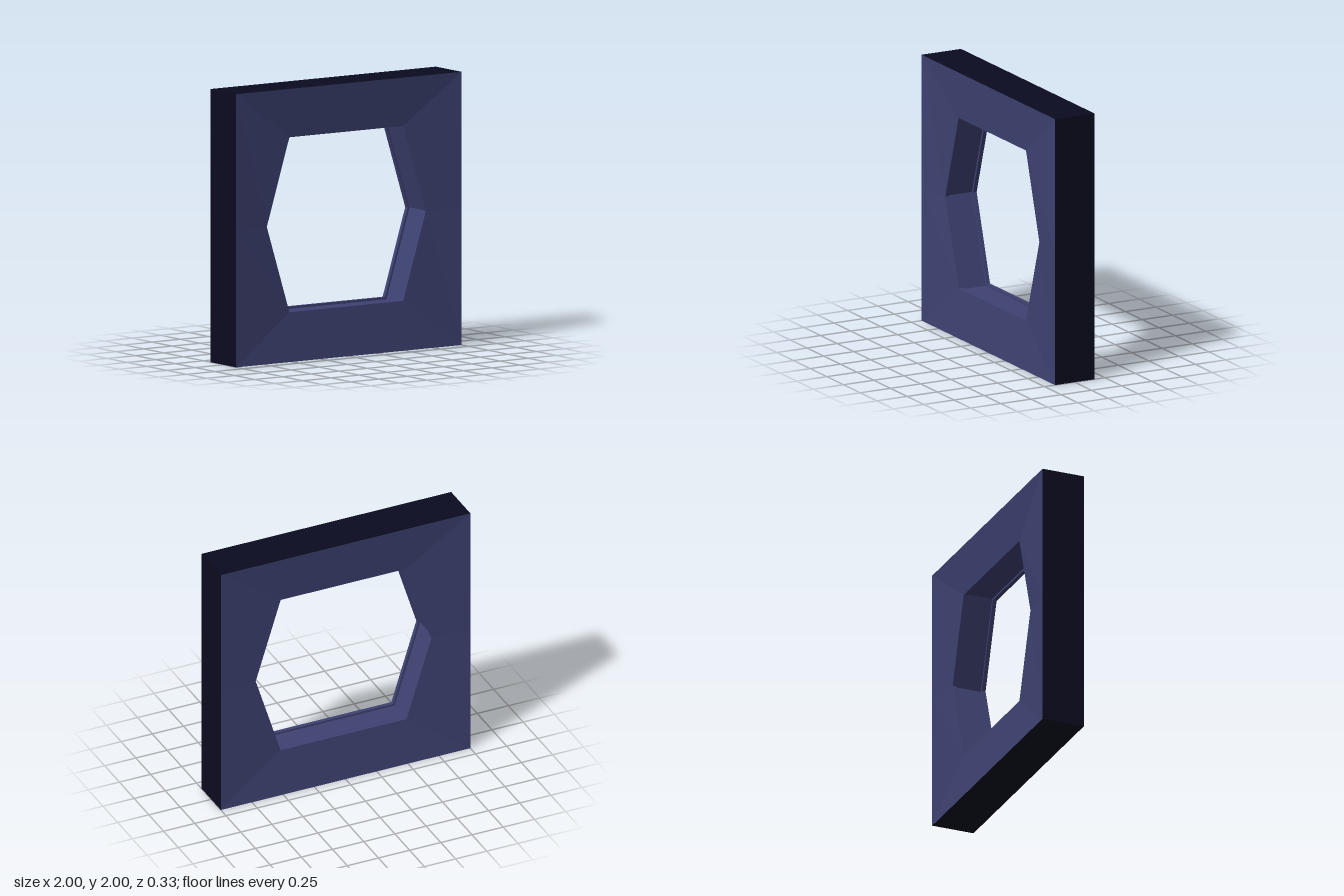
import * as THREE from 'three';

// Six-point loops, counter-clockwise from the front, centred on y = 1
const SQUARE = [[1, 0], [1, 1], [-1, 1], [-1, 0], [-1, -1], [1, -1]];
const HEX = [[0.705, 0], [0.505, 0.64], [-0.505, 0.64], [-0.705, 0], [-0.505, -0.64], [0.505, -0.64]];

function ring(loop, z, scale = 1) {
  return loop.map(([x, y]) => [x * scale, 1 + y * scale, z]);
}

// Flat-shaded skin through successive rings
function loft(rings) {
  const pos = [];
  for (let r = 0; r < rings.length - 1; r++) {
    const a = rings[r], b = rings[r + 1];
    for (let i = 0; i < a.length; i++) {
      const j = (i + 1) % a.length;
      pos.push(...a[i], ...a[j], ...b[j], ...a[i], ...b[j], ...b[i]);
    }
  }
  const geometry = new THREE.BufferGeometry();
  geometry.setAttribute('position', new THREE.Float32BufferAttribute(pos, 3));
  geometry.computeVertexNormals();
  return geometry;
}

export function createModel() {
  const model = new THREE.Group();
  model.name = 'hexagonalWindowFrame';

  const faceBlue = new THREE.MeshStandardMaterial({ color: 0x3e4272 });
  faceBlue.name = 'slateBlue';
  const edgeNavy = new THREE.MeshStandardMaterial({ color: 0x0b0b20 });
  edgeNavy.name = 'darkNavy';

  const add = (name, rings, material) => {
    const mesh = new THREE.Mesh(loft(rings), material);
    mesh.name = name;
    model.add(mesh);
  };

  const outerZ = 0.163, rimZ = 0.13, grooveZ = 0.1, grooveScale = 1.025;

  // Mitred faces, sloping gently in towards the opening
  add('frontFace', [ring(SQUARE, outerZ), ring(HEX, rimZ)], faceBlue);
  add('backFace', [ring(HEX, -rimZ), ring(SQUARE, -outerZ)], faceBlue);

  // Opening with narrow lips and a shallow groove between them
  add('openingWall', [
    ring(HEX, rimZ),
    ring(HEX, grooveZ),
    ring(HEX, grooveZ, grooveScale),
    ring(HEX, -grooveZ, grooveScale),
    ring(HEX, -grooveZ),
    ring(HEX, -rimZ),
  ], faceBlue);

  // Dark outer edge
  add('outerEdge', [ring(SQUARE, -outerZ), ring(SQUARE, outerZ)], edgeNavy);

  return model;
}
